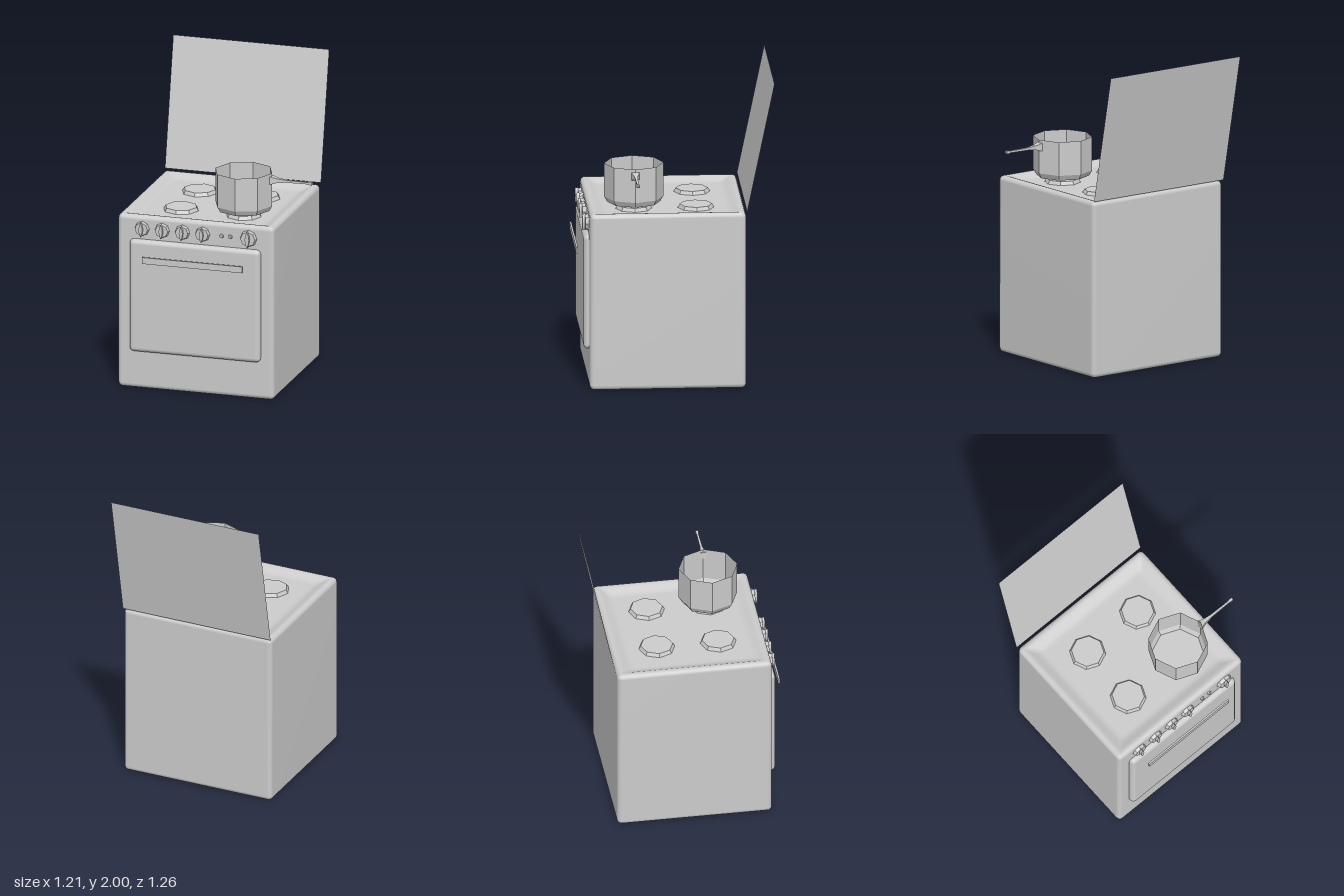
import * as THREE from 'three';
import { RoundedBoxGeometry } from 'three/addons/geometries/RoundedBoxGeometry.js';

const smooth = new THREE.MeshStandardMaterial({ color: 0xcccccc });
const flat = new THREE.MeshStandardMaterial({ color: 0xcccccc, flatShading: true });
const open = new THREE.MeshStandardMaterial({ color: 0xcccccc, flatShading: true, side: THREE.DoubleSide });

function part(parent, name, geometry, material, x = 0, y = 0, z = 0) {
  const mesh = new THREE.Mesh(geometry, material);
  mesh.name = name;
  mesh.position.set(x, y, z);
  parent.add(mesh);
  return mesh;
}

// Stacks rounded rectangles; each ring is [inset, y, cornerRadius]
function loftGeometry(halfX, halfZ, rings, steps = 4) {
  const pos = [], index = [], n = 4 * (steps + 1);
  for (const [inset, y, r] of rings) {
    const hx = Math.max(halfX - inset - r, 0), hz = Math.max(halfZ - inset - r, 0);
    for (let c = 0; c < 4; c++) {
      const sx = c === 0 || c === 3 ? 1 : -1, sz = c < 2 ? 1 : -1;
      for (let s = 0; s <= steps; s++) {
        const a = (c + s / steps) * Math.PI / 2;
        pos.push(sx * hx + r * Math.cos(a), y, sz * hz + r * Math.sin(a));
      }
    }
  }
  for (let k = 0; k < rings.length - 1; k++) {
    for (let i = 0; i < n; i++) {
      const a = k * n + i, b = k * n + (i + 1) % n;
      index.push(a, a + n, b, b, a + n, b + n);
    }
  }
  const g = new THREE.BufferGeometry();
  g.setAttribute('position', new THREE.Float32BufferAttribute(pos, 3));
  g.setIndex(index);
  g.computeVertexNormals();
  return g;
}

function bodyGeometry() {
  const R = 0.03, H = 1.155, steps = 4;
  const rings = [[1, 0, 0]];
  const round = (t, y) => {
    const inset = R * (1 - Math.sin(t));
    rings.push([inset, y, Math.max(R - inset, 0.003)]);
  };
  // rounded bottom edge, then rounded top edge
  for (let i = 0; i <= steps; i++) {
    const t = i / steps * Math.PI / 2;
    round(t, R * (1 - Math.cos(t)));
  }
  for (let i = steps; i >= 0; i--) {
    const t = i / steps * Math.PI / 2;
    round(t, H - R * (1 - Math.cos(t)));
  }
  // sunken hob
  rings.push([0.045, 1.152, 0.015], [0.065, 1.142, 0.025], [0.09, 1.13, 0.025],
    [0.11, 1.125, 0.02], [0.13, 1.125, 0.02], [1, 1.125, 0]);
  return loftGeometry(0.5225, 0.5, rings);
}

// Octagonal dial with a raised, pointed grip
function knob(parent, name, x, r) {
  const g = new THREE.Group();
  g.name = name;
  g.position.set(x, 1.07, 0.55);
  const dial = part(g, 'dial', new THREE.CylinderGeometry(r * 0.85, r, 0.025, 8), flat, 0, 0, 0.0095);
  dial.rotation.x = Math.PI / 2;
  const grip = new THREE.Shape();
  grip.moveTo(0, -r * 0.95);
  grip.quadraticCurveTo(r * 0.5, 0, 0, r * 0.95);
  grip.quadraticCurveTo(-r * 0.5, 0, 0, -r * 0.95);
  part(g, 'grip', new THREE.ExtrudeGeometry(grip, { depth: 0.02, bevelEnabled: false, curveSegments: 4 }),
    flat, 0, 0, 0.02);
  parent.add(g);
}

export function createModel() {
  const model = new THREE.Group();
  model.name = 'cooker';

  part(model, 'body', bodyGeometry(), smooth, -0.0875, 0, 0.05);

  // Oven door and its floating handle bar
  part(model, 'ovenDoor', new RoundedBoxGeometry(0.875, 0.75, 0.08, 4, 0.03), smooth, -0.0875, 0.625, 0.545);
  part(model, 'doorHandle', new THREE.BoxGeometry(0.67, 0.042, 0.012), flat, -0.0875, 0.88, 0.622);

  // Control panel
  [-0.445, -0.31, -0.175, -0.04].forEach((x, i) => knob(model, `burnerKnob${i + 1}`, x, 0.05));
  knob(model, 'ovenKnob', 0.268, 0.057);
  [0.087, 0.145].forEach((x, i) => {
    const light = part(model, `indicatorLight${i + 1}`,
      new THREE.CylinderGeometry(0.011, 0.015, 0.016, 8), flat, x, 1.07, 0.555);
    light.rotation.x = Math.PI / 2;
  });

  // Burners
  for (const x of [-0.278, 0.142]) {
    for (const z of [-0.145, 0.252]) {
      part(model, 'burner', new THREE.CylinderGeometry(0.104, 0.117, 0.024, 8), flat, x, 1.136, z);
    }
  }

  // Open octagonal saucepan
  const pan = new THREE.Group();
  pan.name = 'saucepan';
  pan.position.set(0.142, 1.17, 0.252);
  const profile = [[0, 0], [0.17, 0], [0.19, 0.035], [0.19, 0.255]].map(p => new THREE.Vector2(...p));
  part(pan, 'pot', new THREE.LatheGeometry(profile, 8), open);

  // Four-sided tapering handle with a small knob end
  const handleProfile = [[0, 0], [0.036, 0], [0.036, 0.005], [0.021, 0.04], [0.011, 0.1],
    [0.009, 0.24], [0.014, 0.262], [0.014, 0.275], [0, 0.282]].map(p => new THREE.Vector2(...p));
  const handleGeo = new THREE.LatheGeometry(handleProfile, 4, Math.PI / 4);
  handleGeo.rotateZ(-Math.PI / 2);
  part(pan, 'panHandle', handleGeo, open, 0.181, 0.21, 0);
  model.add(pan);

  // Thin lid, raised and leaning back
  const lid = part(model, 'lid', new THREE.PlaneGeometry(1.045, 0.858), open, -0.0875, 1.58, -0.543);
  lid.rotation.x = -Math.atan2(0.175, 0.84);

  return model;
}
